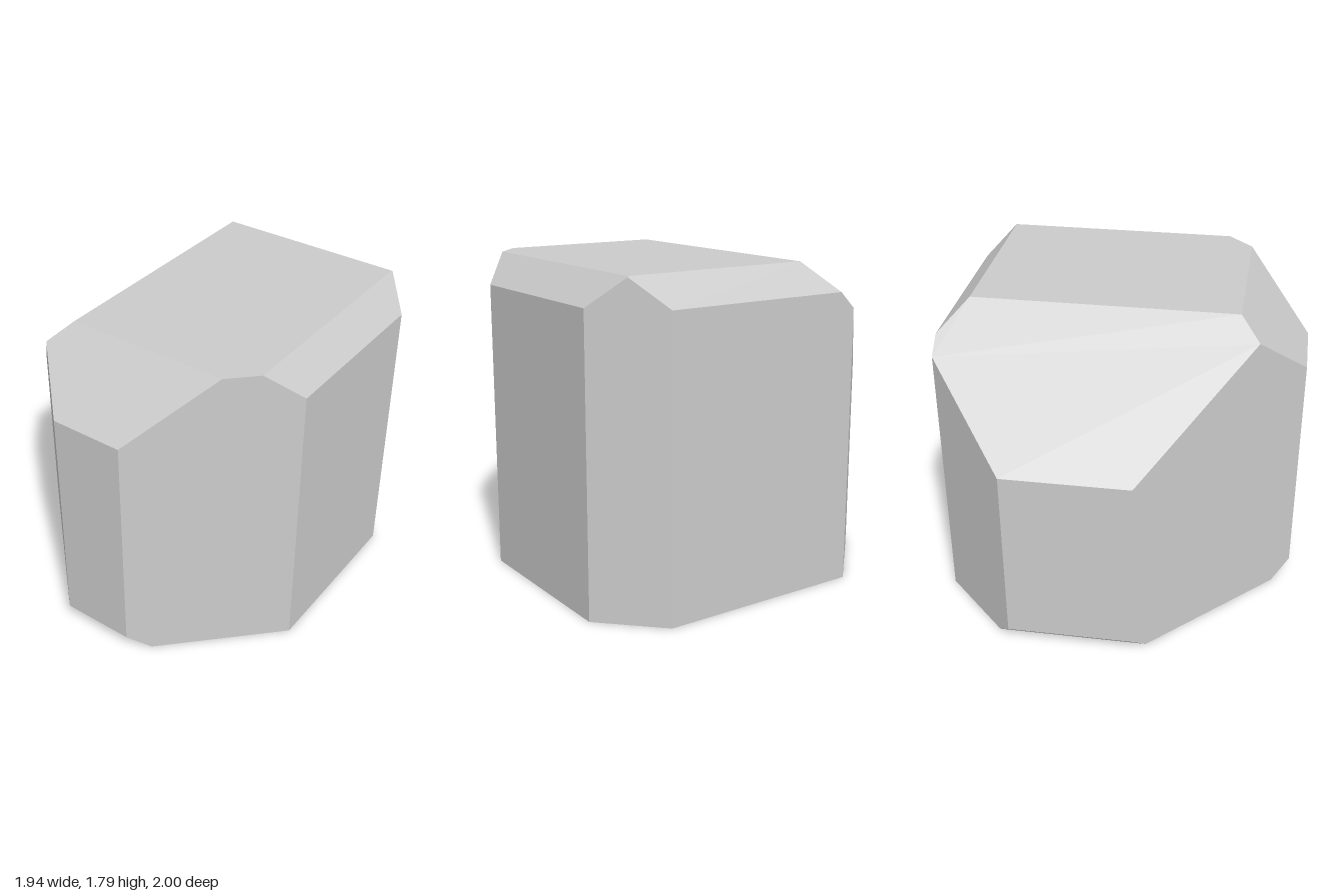
import * as THREE from 'three';
import { ConvexGeometry } from 'three/addons/geometries/ConvexGeometry.js';

// Each flat face of the block: direction (x, y, z) and limit, x*a + y*b + z*c <= limit
const FACES = [
  // main box sides
  [1, 0, 0, 0.968], [-1, 0, 0, 0.968], [0, 1, 0, 1.795], [0, -1, 0, 0], [0, 0, 1, 1], [0, 0, -1, 1],
  // upright corner cuts
  [1, 0, 1, 1.298], [-1, 0, 1, 1.124], [-1, 0, -1, 1.523], [1, 0, -1, 1.66],
  // top edge cuts
  [-1, 1, 0, 2.067], [1, 1, 0, 2.603], [0, 1, 1, 2.428], [0, 1, -1, 2.637],
  // bottom edge cuts
  [0, -1, 1, 0.9], [-1, -1, 0, 0.9],
];

// Corners are the points where three faces meet inside all the others
function findCorners(faces) {
  const corners = [];
  const n = faces.map(([a, b, c]) => new THREE.Vector3(a, b, c));
  for (let i = 0; i < faces.length; i++) {
    for (let j = i + 1; j < faces.length; j++) {
      for (let k = j + 1; k < faces.length; k++) {
        const jk = n[j].clone().cross(n[k]);
        const det = n[i].dot(jk);
        if (Math.abs(det) < 1e-6) continue;
        const p = jk.multiplyScalar(faces[i][3])
          .addScaledVector(n[k].clone().cross(n[i]), faces[j][3])
          .addScaledVector(n[i].clone().cross(n[j]), faces[k][3])
          .divideScalar(det);
        const inside = faces.every((f, m) => n[m].dot(p) <= f[3] + 1e-6);
        if (inside && !corners.some((q) => q.distanceTo(p) < 1e-4)) corners.push(p);
      }
    }
  }
  return corners;
}

export function createModel() {
  const group = new THREE.Group();
  group.name = 'chamferedBlock';
  const material = new THREE.MeshStandardMaterial({ color: 0xcccccc, flatShading: true });
  const block = new THREE.Mesh(new ConvexGeometry(findCorners(FACES)), material);
  block.name = 'block';
  group.add(block);
  return group;
}
